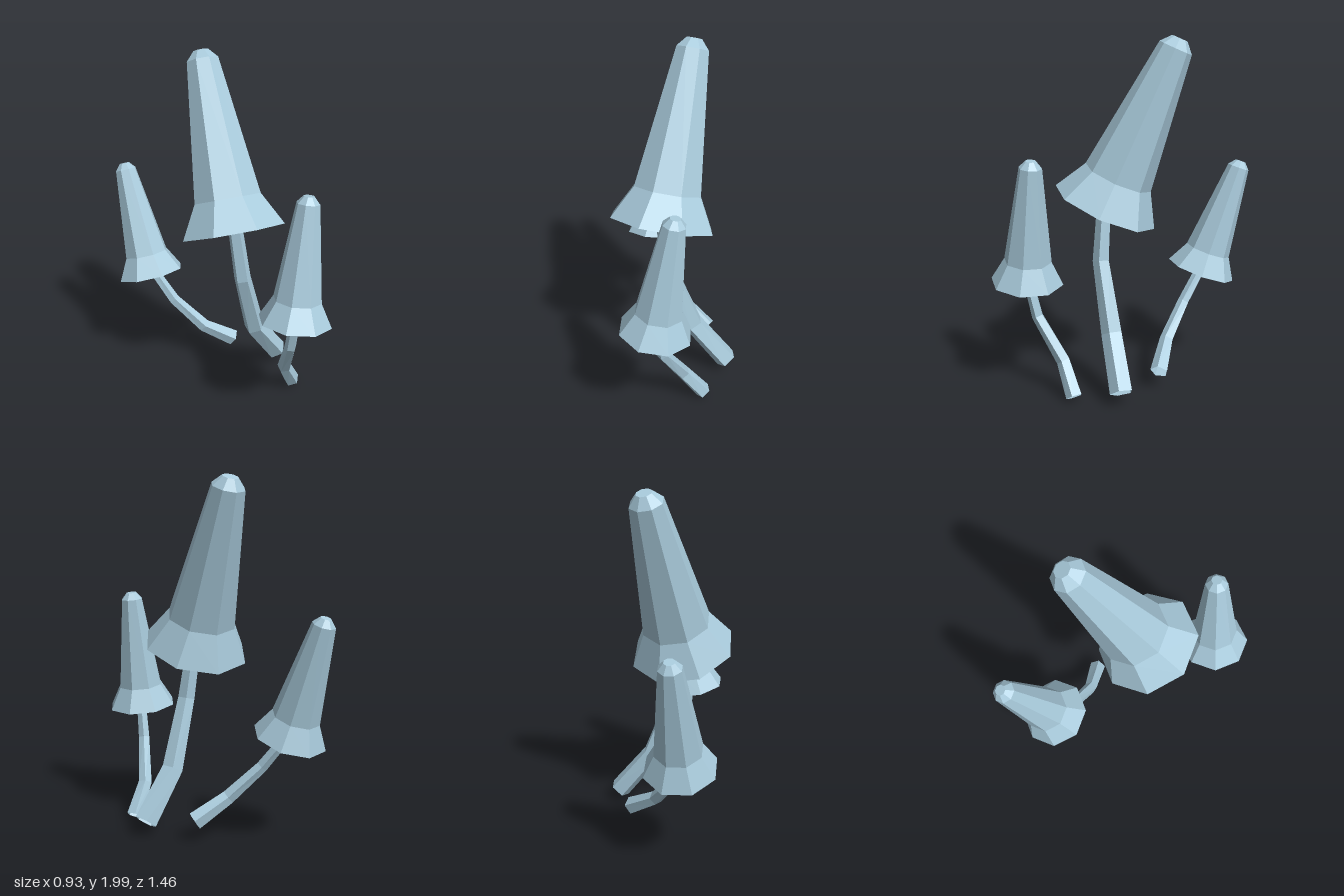
import * as THREE from 'three';

const paleBlue = new THREE.MeshStandardMaterial({ color: 0xa9cbdc, flatShading: true, side: THREE.DoubleSide });
paleBlue.name = 'paleBlue';

// Cap profile: recessed ceiling, inner wall, flat rim, flared skirt, tall crown
const capProfile = [
  [0, 0.095], [0.225, 0.095], [0.232, 0], [0.306, 0],
  [0.2, 0.188], [0.095, 0.965], [0.045, 1.02], [0, 1.02],
].map(([r, y]) => new THREE.Vector2(r, y));

// Eight-sided cap standing on its rim centre and leaning towards its tip
function makeCap(rim, tip, width) {
  const base = new THREE.Vector3(...rim);
  const axis = new THREE.Vector3(...tip).sub(base);
  const cap = new THREE.Mesh(new THREE.LatheGeometry(capProfile, 8), paleBlue);
  cap.name = 'cap';
  cap.position.copy(base);
  cap.scale.set(width, axis.length() / 1.02, width);
  cap.quaternion.setFromUnitVectors(new THREE.Vector3(0, 1, 0), axis.normalize());
  return cap;
}

// Five-sided bent stem with an open foot; each row is x, y, z, radius from the cap down
function makeStem(rows) {
  const sides = 5;
  const phase = 0.8;
  const points = rows.map(([x, y, z]) => new THREE.Vector3(x, y, z));
  const positions = [];
  const index = [];
  points.forEach((p, i) => {
    const before = points[Math.max(i - 1, 0)];
    const after = points[Math.min(i + 1, points.length - 1)];
    const t = after.clone().sub(before).normalize();
    const u = t.clone().cross(new THREE.Vector3(0, 0, 1)).normalize();
    const v = t.clone().cross(u);
    for (let j = 0; j < sides; j++) {
      const a = phase + (j / sides) * Math.PI * 2;
      const q = p.clone()
        .addScaledVector(u, Math.cos(a) * rows[i][3])
        .addScaledVector(v, Math.sin(a) * rows[i][3]);
      positions.push(q.x, q.y, q.z);
      if (i === points.length - 1) continue;
      const k = (j + 1) % sides;
      const [A, B, C, D] = [i * sides + j, i * sides + k, (i + 1) * sides + k, (i + 1) * sides + j];
      index.push(A, B, C, A, C, D);
    }
  });
  const geometry = new THREE.BufferGeometry();
  geometry.setAttribute('position', new THREE.Float32BufferAttribute(positions, 3));
  geometry.setIndex(index);
  geometry.computeVertexNormals();
  const stem = new THREE.Mesh(geometry, paleBlue);
  stem.name = 'stem';
  return stem;
}

const mushrooms = [
  {
    name: 'largeMushroom', rim: [0.04, 1.05, 0.095], tip: [0.04, 1.985, -0.313], width: 1,
    stem: [[0.045, 1.15, 0.09, 0.042], [0.055, 1.05, 0.098, 0.043], [0.095, 0.75, 0.112, 0.05],
      [0.22, 0.36, 0.04, 0.062], [0.42, 0.095, -0.03, 0.066]],
  },
  {
    name: 'backMushroom', rim: [-0.25, 0.598, -0.462], tip: [-0.313, 1.265, -0.685], width: 0.67,
    stem: [[-0.25, 0.67, -0.485, 0.028], [-0.235, 0.61, -0.46, 0.03], [-0.14, 0.43, -0.36, 0.034],
      [0.02, 0.25, -0.265, 0.041], [0.21, 0.13, -0.228, 0.052]],
  },
  {
    name: 'frontMushroom', rim: [0.205, 0.652, 0.52], tip: [0.292, 1.352, 0.465], width: 0.67,
    stem: [[0.215, 0.72, 0.515, 0.028], [0.215, 0.63, 0.505, 0.03], [0.22, 0.45, 0.463, 0.034],
      [0.28, 0.21, 0.31, 0.041], [0.38, 0.042, 0.237, 0.048]],
  },
];

export function createModel() {
  const model = new THREE.Group();
  model.name = 'mushroomCluster';
  for (const m of mushrooms) {
    const group = new THREE.Group();
    group.name = m.name;
    group.add(makeCap(m.rim, m.tip, m.width), makeStem(m.stem));
    model.add(group);
  }
  return model;
}
